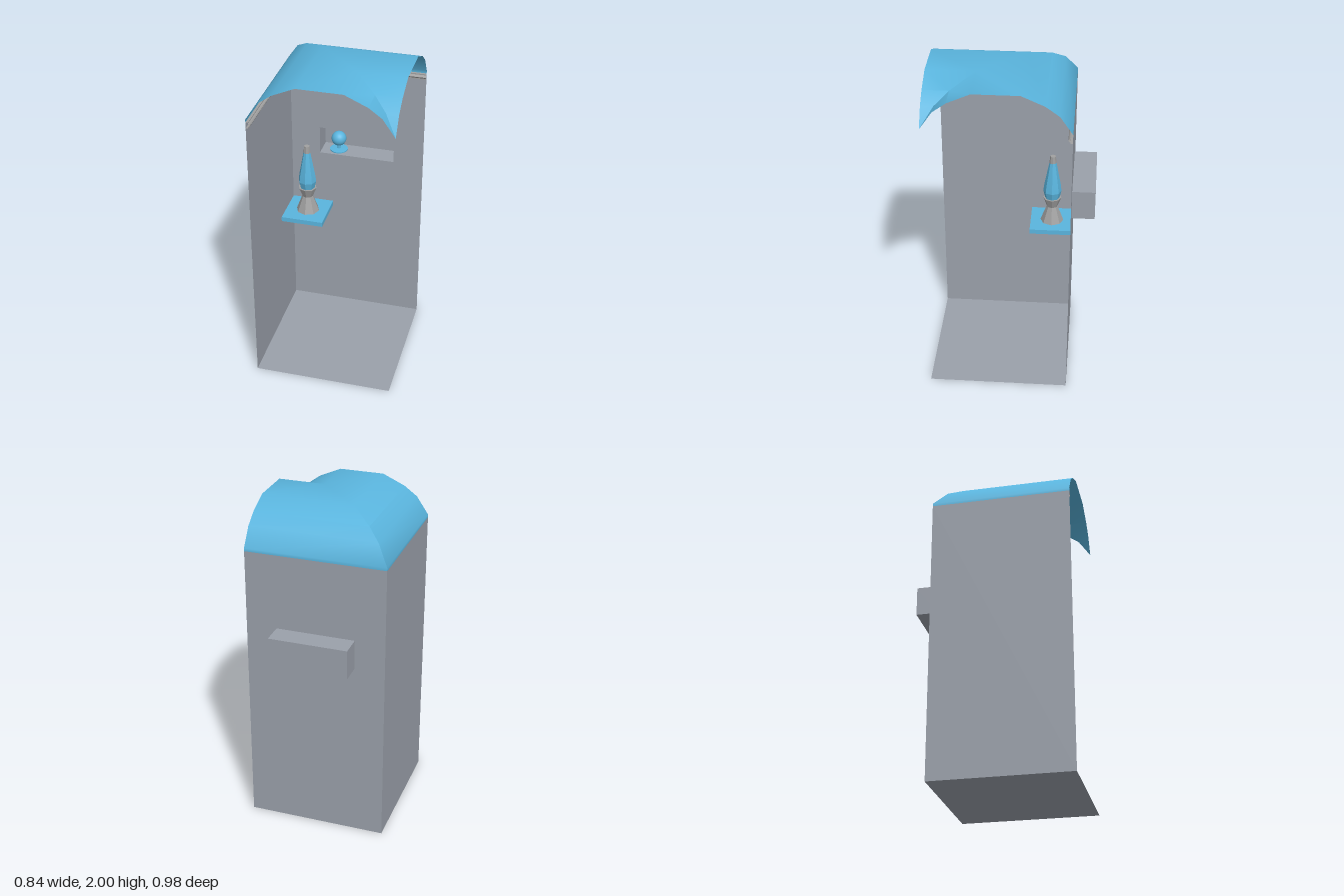
import * as THREE from 'three';
import { toCreasedNormals } from 'three/addons/utils/BufferGeometryUtils.js';

const H = 0.422;        // half the room's width
const CZ = 0.068;       // room centre in z
const WALL_TOP = 1.757;

// Sweeps a profile of [offset, y] along an L-shaped path with a mitred corner.
function mitredSweep(profile, crease) {
  const pos = [];
  const rows = profile.map(([t, y]) => [[H, y, t], [t, y, t], [t, y, H]]);
  for (let i = 0; i < rows.length - 1; i++) {
    const [a0, m0, b0] = rows[i];
    const [a1, m1, b1] = rows[i + 1];
    pos.push(...m0, ...m1, ...a0, ...m0, ...b0, ...m1);
    if (profile[i + 1][0] < H) pos.push(...a0, ...m1, ...a1, ...b0, ...b1, ...m1);
  }
  const g = new THREE.BufferGeometry();
  g.setAttribute('position', new THREE.Float32BufferAttribute(pos, 3));
  g.computeVertexNormals();
  return toCreasedNormals(g, crease);
}

function lathe(points, sides) {
  return new THREE.LatheGeometry(points.map(([r, y]) => new THREE.Vector2(r, y)), sides);
}

export function createModel() {
  const wallGrey = new THREE.MeshStandardMaterial({ color: 0x9aa0aa, side: THREE.DoubleSide });
  wallGrey.name = 'wall grey';
  const metalGrey = new THREE.MeshStandardMaterial({ color: 0xa0a0a0, side: THREE.DoubleSide });
  metalGrey.name = 'metal grey';
  const blue = new THREE.MeshStandardMaterial({ color: 0x5ab5de, side: THREE.DoubleSide });
  blue.name = 'sky blue';

  const model = new THREE.Group();
  model.name = 'vaultedCorner';
  const add = (name, geometry, material, x = 0, y = 0, z = 0, parent = model) => {
    const mesh = new THREE.Mesh(geometry, material);
    mesh.name = name;
    mesh.position.set(x, y, z);
    parent.add(mesh);
    return mesh;
  };
  const backZ = CZ - H;

  // Floor and plain side wall
  add('floor', new THREE.PlaneGeometry(2 * H, 2 * H).rotateX(-Math.PI / 2), wallGrey, 0, 0, CZ);
  add('sideWall', new THREE.PlaneGeometry(2 * H, WALL_TOP).rotateY(Math.PI / 2), wallGrey, -H, WALL_TOP / 2, CZ);

  // Back wall with an opening for the niche
  const n = { x0: -0.24, x1: 0.236, y0: 1.12, y1: 1.3, z: -0.49 };
  const rect = (s, x0, y0, x1, y1) => s.moveTo(x0, y0).lineTo(x1, y0).lineTo(x1, y1).lineTo(x0, y1).closePath();
  const wall = rect(new THREE.Shape(), -H, 0, H, WALL_TOP);
  wall.holes.push(rect(new THREE.Path(), n.x0, n.y0, n.x1, n.y1));
  add('backWall', new THREE.ShapeGeometry(wall), wallGrey, 0, 0, backZ);

  // Niche: five thin faces open to the room
  const niche = new THREE.Group();
  niche.name = 'niche';
  model.add(niche);
  const w = n.x1 - n.x0, h = n.y1 - n.y0, d = backZ - n.z;
  const cx = (n.x0 + n.x1) / 2, cy = (n.y0 + n.y1) / 2, cz = (backZ + n.z) / 2;
  add('nicheBack', new THREE.PlaneGeometry(w, h), wallGrey, cx, cy, n.z, niche);
  for (const s of [-1, 1]) {
    add(s < 0 ? 'nicheFloor' : 'nicheTop', new THREE.PlaneGeometry(w, d).rotateX(s * Math.PI / 2),
      wallGrey, cx, cy + s * h / 2, cz, niche);
    add('nicheSide', new THREE.PlaneGeometry(d, h).rotateY(-s * Math.PI / 2),
      wallGrey, cx + s * w / 2, cy, cz, niche);
  }

  // Vaulted ceiling turning the corner, with a short lip along the walls
  const arch = [[0.422, 1.775], [0.349, 1.882], [0.27, 1.94], [0.135, 2]];
  const vault = [[-H, WALL_TOP], ...arch.map(([t, y]) => [-t, y]), ...[...arch].reverse()];
  add('vaultedCeiling', mitredSweep(vault, 0.7), blue, 0, 0, CZ);

  // Rounded moulding below the ceiling
  const moulding = [[0, 1.757], [0.014, 1.757], [0.014, 1.75], [0.023, 1.746], [0.026, 1.739],
    [0.023, 1.732], [0.014, 1.728], [0.014, 1.72], [0, 1.72]].map(([t, y]) => [t - H, y]);
  add('moulding', mitredSweep(moulding, 0.8), metalGrey, 0, 0, CZ);

  // Corner shelf
  add('shelf', new THREE.BoxGeometry(0.266, 0.03, 0.268), blue, -0.288, 0.755, backZ + 0.1345);

  // Tall faceted lamp on the shelf
  const lamp = new THREE.Group();
  lamp.name = 'lamp';
  lamp.position.set(-0.286, 0.77, -0.22);
  model.add(lamp);
  const facet = (pts) => toCreasedNormals(lathe(pts, 8), 0.1);
  add('lampBase', facet([[0, 0], [0.073, 0], [0.034, 0.105], [0.058, 0.168], [0, 0.168]]), metalGrey, 0, 0, 0, lamp);
  add('lampGlass', facet([[0.046, 0.168], [0.057, 0.215], [0.052, 0.26], [0.022, 0.418]]), blue, 0, 0, 0, lamp);
  add('lampCap', facet([[0.022, 0.418], [0.018, 0.464], [0, 0.464]]), metalGrey, 0, 0, 0, lamp);

  // Globe on a stand inside the niche
  const globe = new THREE.Group();
  globe.name = 'globe';
  globe.position.set(-0.134, n.y0, cz);
  model.add(globe);
  const stand = [[0, 0.002], [0.057, 0.002], [0.057, 0.009], [0.009, 0.012], [0.009, 0.028],
    [0.018, 0.033], [0.016, 0.04], [0, 0.04]];
  add('globeStand', toCreasedNormals(lathe(stand, 20), 0.6), blue, 0, 0, 0, globe);
  add('globeBall', new THREE.SphereGeometry(0.047, 24, 16), blue, 0, 0.081, 0, globe);

  return model;
}
